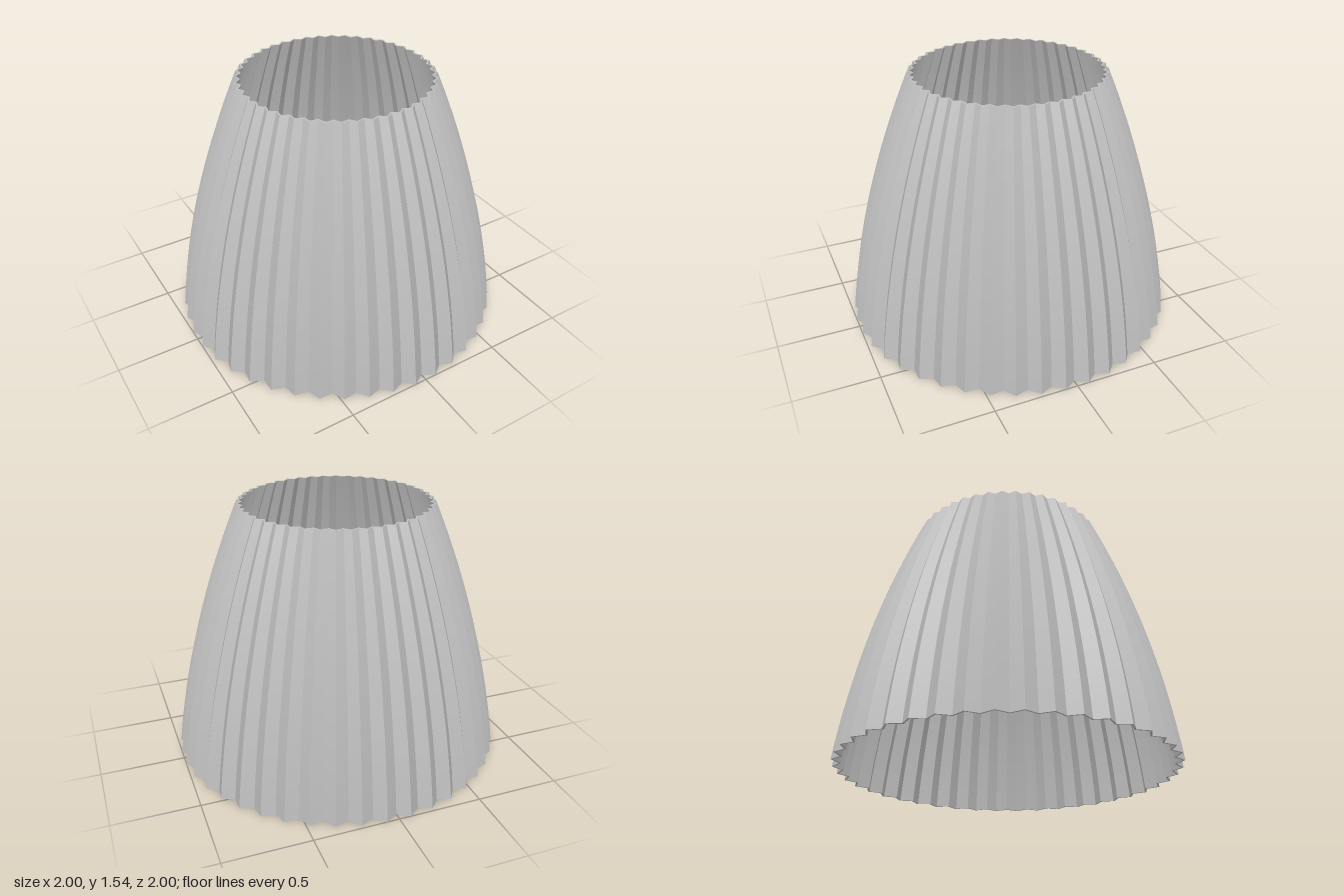
import * as THREE from 'three';

const PLEATS = 44, HEIGHT = 1.54, ROWS = 16, VALLEY = 0.955, WALL = 0.012;

// Bell-shaped profile: radius of the pleat ridges at height y
const ridgeRadius = (y) => 1.0026 - 0.1246 * y - 0.0986 * y * y;

// Point on fold line i (even = valley, odd = ridge), moved inward by inset
function foldPoint(i, y, inset) {
  const a = (i * Math.PI) / PLEATS;
  const r = ridgeRadius(y) * (i % 2 ? 1 : VALLEY) - inset;
  return [r * Math.sin(a), y, r * Math.cos(a)];
}

// Joins rows of point pairs into a strip; each strip keeps its own corners,
// so folds stay sharp while the curve along the height stays smooth
function addStrip(data, rows, flip) {
  const start = data.positions.length / 3;
  rows.forEach(([p, q]) => data.positions.push(...p, ...q));
  for (let k = 0; k < rows.length - 1; k++) {
    const a = start + 2 * k, b = a + 1, c = a + 2, d = a + 3;
    data.indices.push(...(flip ? [a, d, b, a, c, d] : [a, b, d, a, d, c]));
  }
}

function makeMesh(name, data, material) {
  const geometry = new THREE.BufferGeometry();
  geometry.setAttribute('position', new THREE.Float32BufferAttribute(data.positions, 3));
  geometry.setIndex(data.indices);
  geometry.computeVertexNormals();
  const mesh = new THREE.Mesh(geometry, material);
  mesh.name = name;
  return mesh;
}

export function createModel() {
  const group = new THREE.Group();
  group.name = 'pleatedLampshade';
  const grey = new THREE.MeshStandardMaterial({ color: 0xbfbfbf });
  grey.name = 'shade grey';

  const empty = () => ({ positions: [], indices: [] });
  const outer = empty(), inner = empty(), topRim = empty(), bottomRim = empty();
  const heights = Array.from({ length: ROWS + 1 }, (_, k) => (HEIGHT * k) / ROWS);

  for (let i = 0; i < PLEATS * 2; i++) {
    const pair = (y, inset) => [foldPoint(i, y, inset), foldPoint(i + 1, y, inset)];
    // Outside and inside faces of one fold
    addStrip(outer, heights.map((y) => pair(y, 0)), false);
    addStrip(inner, heights.map((y) => pair(y, WALL)), true);
    // Thin edges closing the wall
    addStrip(topRim, [pair(HEIGHT, 0), pair(HEIGHT, WALL)], false);
    addStrip(bottomRim, [pair(0, 0), pair(0, WALL)], true);
  }

  group.add(
    makeMesh('outerPleats', outer, grey),
    makeMesh('innerPleats', inner, grey),
    makeMesh('topRim', topRim, grey),
    makeMesh('bottomRim', bottomRim, grey),
  );
  return group;
}
